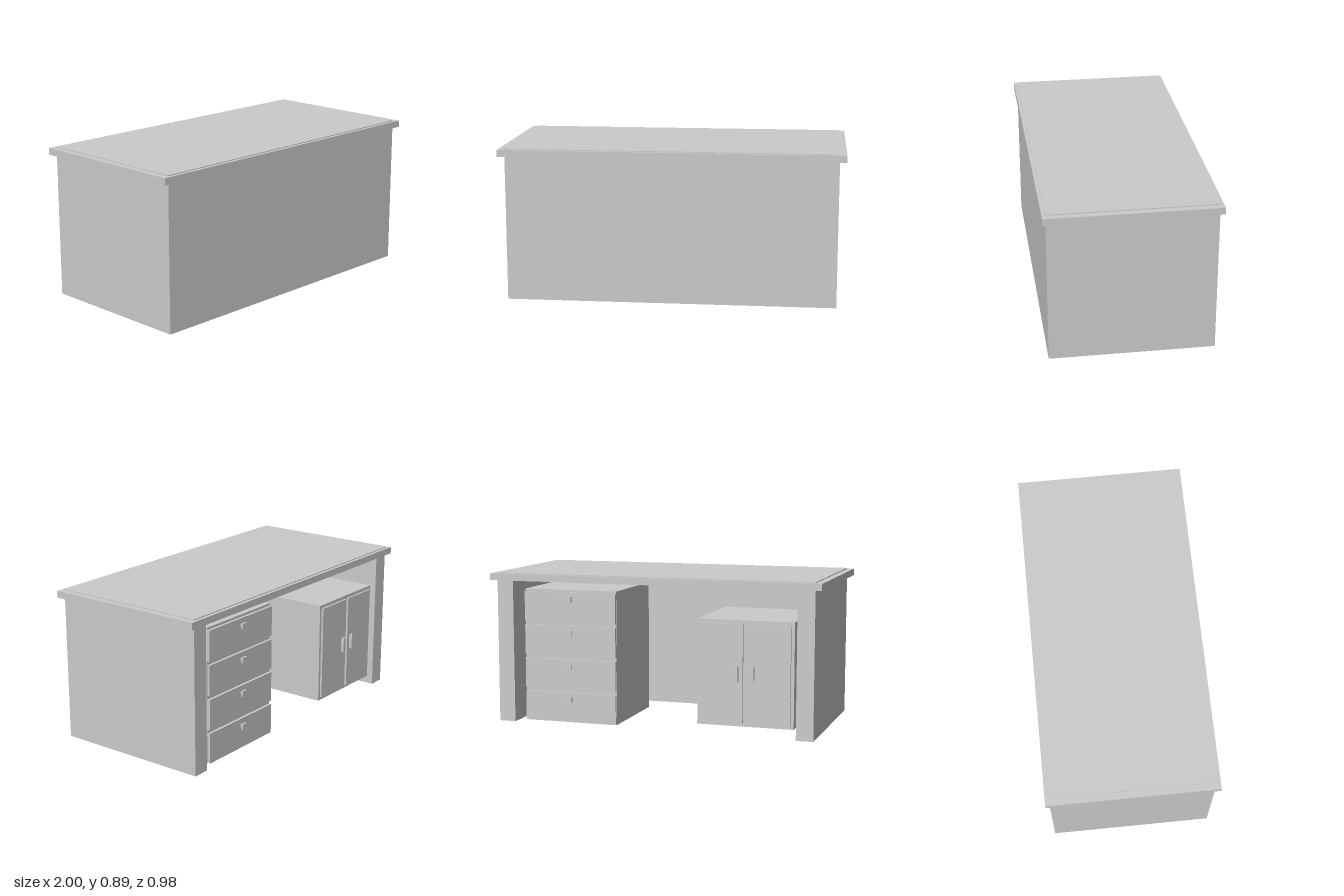
import * as THREE from 'three';

export function createModel() {
  const desk = new THREE.Group();
  desk.name = 'desk';
  const material = new THREE.MeshStandardMaterial({ color: 0xcccccc, flatShading: true });

  // Box given by its extents along each axis
  function box(parent, name, [x0, x1], [y0, y1], [z0, z1]) {
    const mesh = new THREE.Mesh(new THREE.BoxGeometry(x1 - x0, y1 - y0, z1 - z0), material);
    mesh.position.set((x0 + x1) / 2, (y0 + y1) / 2, (z0 + z1) / 2);
    mesh.name = name;
    parent.add(mesh);
    return mesh;
  }
  function group(name) {
    const g = new THREE.Group();
    g.name = name;
    desk.add(g);
    return g;
  }

  // Top slab with a thin raised writing surface
  box(desk, 'tabletop', [-1, 1], [0.85, 0.89], [-0.49, 0.49]);
  box(desk, 'writingSurface', [-0.96, 0.96], [0.89, 0.895], [-0.47, 0.47]);

  // Front panel and the two side panels
  box(desk, 'frontPanel', [-0.86, 0.86], [0, 0.85], [0.39, 0.47]);
  box(desk, 'leftSidePanel', [0.86, 0.96], [0, 0.85], [-0.47, 0.47]);
  box(desk, 'rightSidePanel', [-0.96, -0.86], [0, 0.85], [-0.47, 0.47]);

  // Drawer cabinet: carcass with four raised drawer fronts and pulls
  const drawers = group('drawerCabinet');
  box(drawers, 'drawerCarcass', [0.224, 0.8], [0.01, 0.8], [-0.427, 0.146]);
  const pitch = 0.199, drawerHeight = 0.177;
  for (let i = 0; i < 4; i++) {
    const y = 0.012 + i * pitch;
    const top = y + drawerHeight;
    box(drawers, 'drawerFront', [0.226, 0.798], [y, top], [-0.443, -0.427]);
    box(drawers, 'drawerPullStem', [0.503, 0.521], [top - 0.05, top - 0.032], [-0.458, -0.443]);
    box(drawers, 'drawerPull', [0.494, 0.53], [top - 0.058, top - 0.024], [-0.468, -0.456]);
  }

  // Cupboard: raised off the floor, with two doors and upright handles
  const cupboard = group('cupboard');
  const middle = -0.557;
  box(cupboard, 'cupboardCarcass', [-0.841, -0.274], [0.055, 0.665], [-0.441, 0.147]);
  for (const side of [-1, 1]) {
    const span = (a, b) => [middle + side * a, middle + side * b].sort((p, q) => p - q);
    box(cupboard, 'door', span(0.012, 0.265), [0.075, 0.645], [-0.453, -0.441]);
    box(cupboard, 'doorHandle', span(0.036, 0.056), [0.315, 0.405], [-0.472, -0.453]);
  }

  return desk;
}
